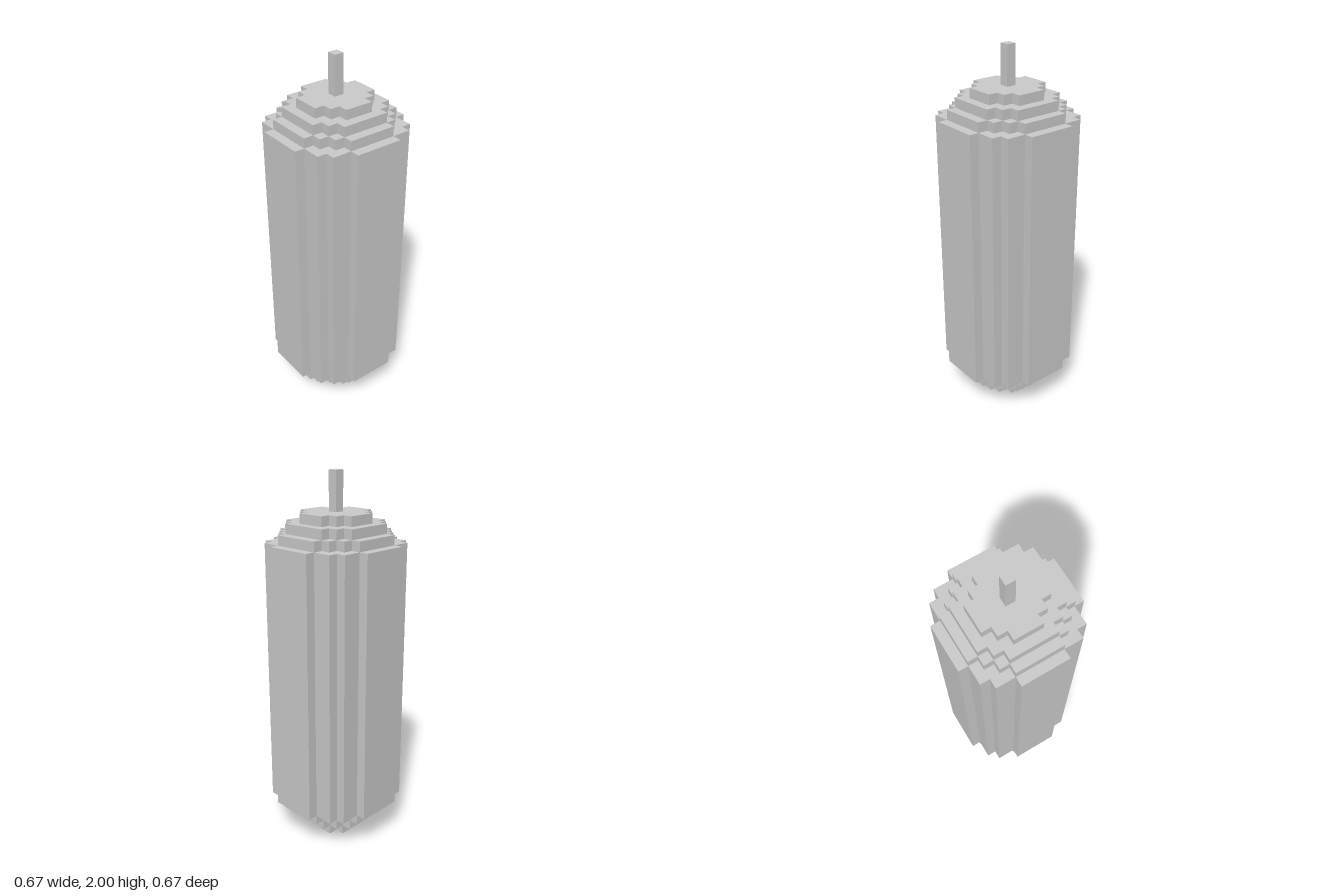
import * as THREE from 'three';

const U = 2 / 39; // one block
const material = new THREE.MeshStandardMaterial({ color: 0xcccccc, flatShading: true });

// Stepped round slab: outer corners of one quadrant (in blocks), turned four times
function slab(name, corners, from, to) {
  const quadrant = [];
  corners.forEach(([x, y], i) => {
    quadrant.push([x, y]);
    if (i < corners.length - 1) quadrant.push([corners[i + 1][0], y]);
  });
  const points = [];
  for (let turn = 0; turn < 4; turn++) {
    for (const [x, y] of quadrant) {
      const [px, py] = [[x, y], [-y, x], [-x, -y], [y, -x]][turn];
      points.push(new THREE.Vector2(px * U, py * U));
    }
  }
  const geometry = new THREE.ExtrudeGeometry(new THREE.Shape(points), {
    depth: (to - from) * U, bevelEnabled: false,
  });
  geometry.rotateX(-Math.PI / 2);
  const mesh = new THREE.Mesh(geometry, material);
  mesh.name = name;
  mesh.position.y = from * U;
  return mesh;
}

export function createModel() {
  const group = new THREE.Group();
  group.name = 'steppedCylinder';

  // Cross-sections, smallest to largest
  const tiny = [[2.5, 1.5], [1.5, 2.5]];
  const small = [[3.5, 1.5], [2.5, 2.5], [1.5, 3.5]];
  const medium = [[4.5, 2.5], [3.5, 3.5], [2.5, 4.5]];
  const large = [[5.5, 2.5], [4.5, 3.5], [3.5, 4.5], [2.5, 5.5]];
  const full = [[6.5, 2.5], [5.5, 4.5], [4.5, 5.5], [2.5, 6.5]];

  // Tapering base
  [tiny, small, medium, large].forEach((section, i) => {
    group.add(slab(`baseStep${i + 1}`, section, i, i + 1));
  });

  // Main body
  group.add(slab('body', full, 4, 32));

  // Tapering top
  [large, medium, small].forEach((section, i) => {
    group.add(slab(`topStep${i + 1}`, section, 32 + i, 33 + i));
  });

  // Thin square stem
  const stem = new THREE.Mesh(new THREE.BoxGeometry(U, 4 * U, U), material);
  stem.name = 'stem';
  stem.position.y = 37 * U;
  group.add(stem);

  return group;
}
